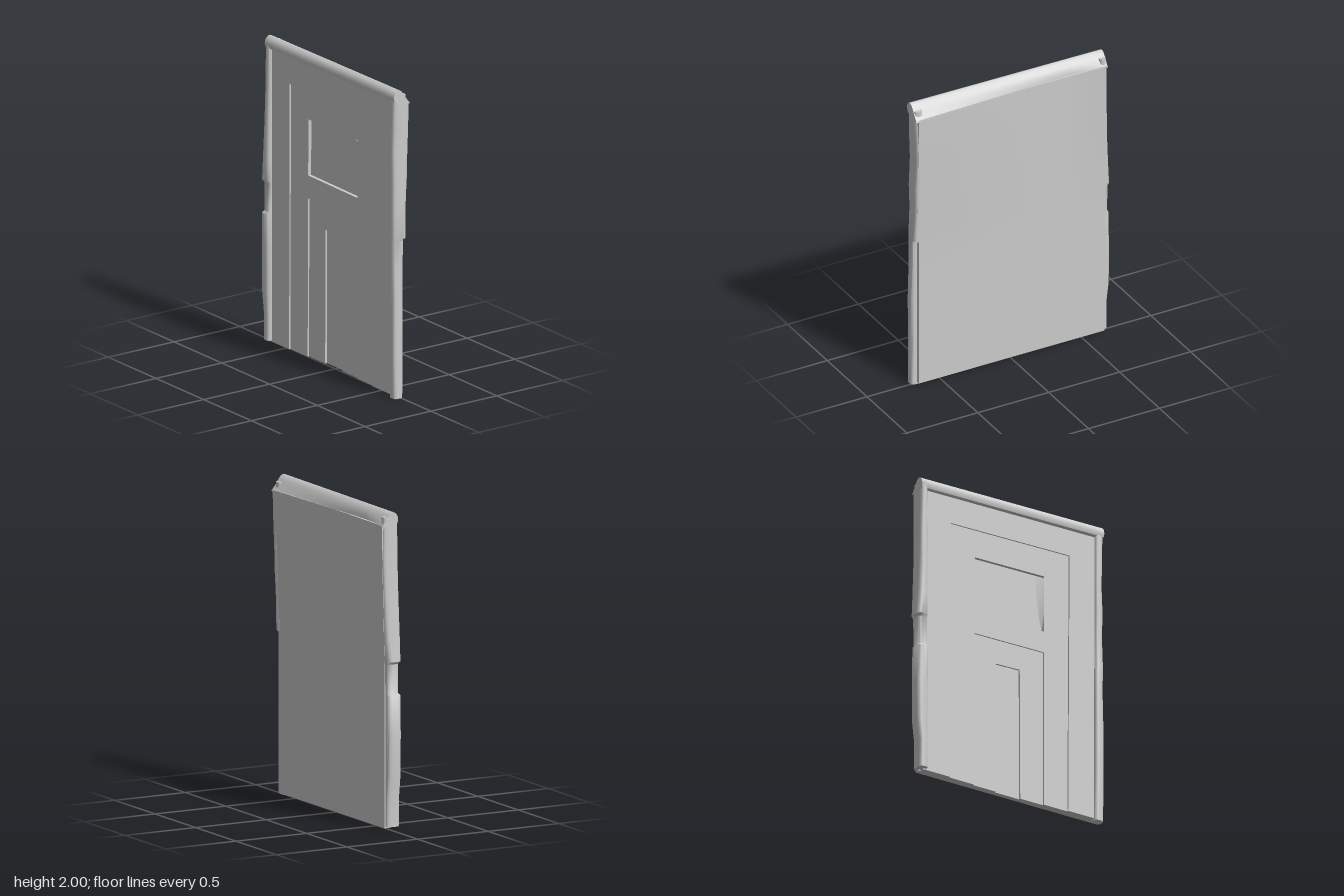
import * as THREE from 'three';
import { toCreasedNormals } from 'three/addons/utils/BufferGeometryUtils.js';

const material = new THREE.MeshStandardMaterial({ color: 0xcccccc });

function addMesh(group, name, geometry) {
  const mesh = new THREE.Mesh(geometry, material);
  mesh.name = name;
  group.add(mesh);
}

// Skins closed rings of [x, y, z] points and caps both ends
function loft(rings, crease = 0.7) {
  const n = rings[0].length, pos = [], index = [];
  rings.forEach((ring) => ring.forEach((p) => pos.push(...p)));
  for (let i = 0; i < rings.length - 1; i++) {
    for (let j = 0; j < n; j++) {
      const k = (j + 1) % n, a = i * n + j, b = i * n + k;
      index.push(a, b, b + n, a, b + n, a + n);
    }
  }
  [0, rings.length - 1].forEach((r, end) => {
    const centre = [0, 1, 2].map((c) => rings[r].reduce((s, p) => s + p[c], 0) / n);
    const ci = pos.length / 3;
    pos.push(...centre);
    for (let j = 0; j < n; j++) {
      const a = r * n + j, b = r * n + (j + 1) % n;
      if (end) index.push(ci, a, b); else index.push(ci, b, a);
    }
  });
  const geometry = new THREE.BufferGeometry();
  geometry.setAttribute('position', new THREE.Float32BufferAttribute(pos, 3));
  geometry.setIndex(index);
  return toCreasedNormals(geometry, crease);
}

// The warped back: flat low down, swelling towards both upper corners
function backZ(x, y) {
  const t = THREE.MathUtils.clamp((y - 0.95) / 0.9, 0, 1);
  return -0.035 - t * Math.max(0, 0.033 * (x + 0.4) / 1.05, 0.02 * (-x - 0.4) / 0.24);
}

function polygon(points) {
  return new THREE.Shape(points.map(([x, y]) => new THREE.Vector2(x, y)));
}

// Flat plate between two depths
function plate(points, holes, z0, z1) {
  const shape = polygon(points);
  holes.forEach((h) => shape.holes.push(polygon(h)));
  const geometry = new THREE.ExtrudeGeometry(shape, { depth: z1 - z0, bevelEnabled: false });
  return geometry.translate(0, 0, z0);
}

// Side post from rows of [y, outer x, front z, back z]
function post(rows, innerX) {
  const rings = rows.map(([y, outerX, front, back]) => {
    const ring = [], cx = (outerX + innerX) / 2, rx = Math.abs(outerX - innerX) / 2;
    for (let i = 0; i < 20; i++) {
      const a = i / 20 * Math.PI * 2, c = Math.cos(a), s = Math.sin(a);
      const x = cx + rx * Math.sign(c) * Math.abs(c) ** 0.55;
      const z = (front + back) / 2 - (front - back) / 2 * Math.sign(s) * Math.abs(s) ** 0.65;
      ring.push([x, y, z]);
    }
    return ring;
  });
  return loft(rings);
}

export function createModel() {
  const door = new THREE.Group();
  door.name = 'door';
  const bottom = 0.012;

  // Thin core slab with the warped back
  const rows = [bottom, 0.2, 0.5, 0.8, 1.02, 1.03, 1.2, 1.4, 1.6, 1.75, 1.91];
  addMesh(door, 'coreSlab', loft(rows.map((y) => {
    const left = -0.655, right = y < 1.025 ? 0.655 : 0.672, ring = [];
    ring.push([left, y, 0], [right, y, 0]);
    for (let i = 0; i <= 16; i++) {
      const x = right + (left - right) * i / 16;
      ring.push([x, y, backZ(x, y)]);
    }
    return ring;
  })));

  // Stepped front: each plate lies deeper than the one around it
  addMesh(door, 'outerPanel', plate([
    [-0.64, bottom], [-0.44, bottom], [-0.435, 1.735], [0.445, 1.745], [0.435, bottom],
    [0.65, bottom], [0.65, 1.94], [-0.64, 1.94],
  ], [], -0.005, 0.032));
  addMesh(door, 'middlePanel', plate([
    [-0.445, bottom], [-0.26, bottom], [-0.255, 1.04], [0.26, 1.045], [0.26, bottom],
    [0.445, bottom], [0.448, 1.75], [-0.445, 1.75],
  ], [[[-0.255, 1.19], [0.262, 1.185], [0.262, 1.56], [-0.25, 1.555]]], -0.005, 0.022));
  addMesh(door, 'lowerPanel', plate([
    [-0.27, bottom], [-0.09, bottom], [-0.088, 0.88], [0.088, 0.885], [0.092, bottom],
    [0.27, bottom], [0.27, 1.05], [-0.27, 1.05],
  ], [], -0.005, 0.012));

  // Sloping right cheek of the window recess
  addMesh(door, 'windowCheek', loft([[1.19, 0.005], [1.3, 0.03], [1.55, 0.06]].map(([y, w]) => [
    [0.263 - w, y, -0.001], [0.263, y, 0.021], [0.263, y, -0.001],
  ]), 0.3));

  // Worn side posts, one with a notch at mid height
  addMesh(door, 'rightPost', post([
    [0.02, -0.68, 0.06, -0.03], [0.2, -0.68, 0.062, -0.03], [0.34, -0.698, 0.064, -0.03],
    [0.6, -0.7, 0.065, -0.03], [0.84, -0.695, 0.065, -0.03], [0.855, -0.685, 0.052, -0.03],
    [1.04, -0.685, 0.052, -0.035], [1.055, -0.698, 0.064, -0.035], [1.2, -0.688, 0.064, -0.04],
    [1.45, -0.675, 0.06, -0.045], [1.7, -0.67, 0.055, -0.052], [1.96, -0.665, 0.055, -0.045],
  ], -0.618));
  addMesh(door, 'leftPost', post([
    [0, 0.693, 0.05, -0.015], [0.3, 0.69, 0.055, -0.012], [0.6, 0.692, 0.055, -0.012],
    [0.85, 0.685, 0.055, -0.01], [1.02, 0.686, 0.055, -0.01], [1.03, 0.69, 0.055, -0.042],
    [1.25, 0.683, 0.052, -0.048], [1.4, 0.688, 0.054, -0.055], [1.6, 0.68, 0.052, -0.06],
    [1.75, 0.686, 0.052, -0.064], [1.96, 0.688, 0.05, -0.045],
  ], 0.627));

  // Rounded top rail with a sloping back, rising slightly to one side
  const profile = [
    [-0.038, 1.935], [-0.018, 1.965], [0, 1.988], [0.02, 1.995], [0.038, 1.986],
    [0.051, 1.968], [0.055, 1.945], [0.048, 1.922], [0.03, 1.912], [0, 1.9],
  ];
  const rail = [];
  for (let i = 0; i <= 16; i++) {
    const x = -0.665 + 1.353 * i / 16, lift = 0.005 * x / 0.67;
    const back = backZ(x, 1.9);
    const ring = [[x, 1.9, back]];
    profile.forEach(([z, y]) => ring.push([x, y + lift, Math.max(z, back)]));
    rail.push(ring);
  }
  addMesh(door, 'topRail', loft(rail));

  return door;
}
